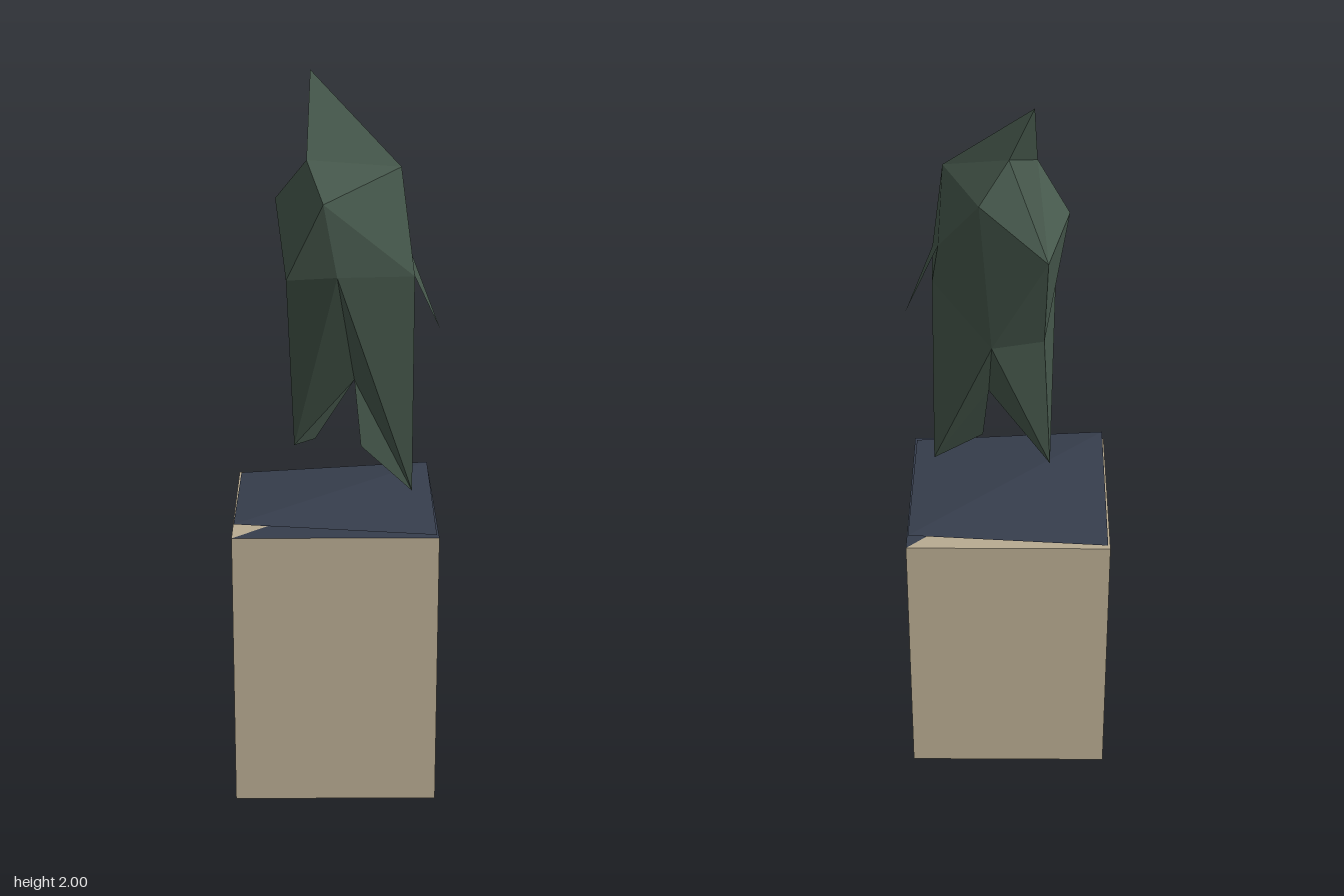
import * as THREE from 'three';

const mat = (name, color, extra = {}) => {
  const m = new THREE.MeshStandardMaterial({ color, ...extra });
  m.name = name;
  return m;
};

// Corner points of the faceted sculpture
const P = {
  A: [-0.07, 2.0, -0.064], // peak
  D: [-0.006, 1.87, -0.085], B: [-0.107, 1.633, -0.194], C: [0.07, 1.765, -0.136], // back of head
  E: [0.17, 1.768, 0.103], F: [-0.08, 1.785, 0.097], G: [-0.165, 1.67, 0.021], // shoulders
  I: [-0.036, 1.69, 0.219], H: [-0.135, 1.478, 0.168], P: [0.0, 1.495, 0.21], J: [0.205, 1.49, 0.172], // chest
  L: [0.183, 1.57, 0.023], M: [0.203, 1.437, 0.07], K: [0.28, 1.325, 0.1], // side and spike tip
  N: [0.04, 1.327, -0.1], Q: [-0.1, 1.35, -0.1], T: [0.05, 1.148, -0.025], // lower back and crotch
  R: [0.21, 0.855, 0.075], U: [0.068, 0.97, 0.025], // left foot
  W: [-0.12, 0.94, -0.075], V: [-0.06, 0.985, 0.003], // right foot
};

// Builds flat facets from three-letter corner names, turned away from the core
function facets(name, faces, material) {
  const core = new THREE.Vector3(0.02, 1.5, 0.03);
  const pos = [];
  for (const f of faces.split(' ')) {
    const v = [...f].map((k) => new THREE.Vector3(...P[k]));
    const n = v[1].clone().sub(v[0]).cross(v[2].clone().sub(v[0]));
    const mid = v[0].clone().add(v[1]).add(v[2]).divideScalar(3);
    core.y = Math.min(mid.y, 1.7);
    if (n.dot(mid.sub(core)) < 0) v.reverse();
    v.forEach((p) => pos.push(p.x, p.y, p.z));
  }
  const g = new THREE.BufferGeometry();
  g.setAttribute('position', new THREE.Float32BufferAttribute(pos, 3));
  g.computeVertexNormals();
  const mesh = new THREE.Mesh(g, material);
  mesh.name = name;
  return mesh;
}

export function createModel() {
  const model = new THREE.Group();
  model.name = 'sculptureOnPedestal';
  const green = mat('darkGreen', 0x46584c, { flatShading: true, side: THREE.DoubleSide });
  const cream = mat('sandstone', 0xb8ab91);
  const navy = mat('navySlate', 0x363d4c, { flatShading: true, side: THREE.DoubleSide });

  // Pedestal: sand block with half of its top in slate
  const w = 0.562, h = 0.79, d = 0.54;
  const box = new THREE.BoxGeometry(w, h, d);
  box.clearGroups();
  box.addGroup(0, 15, 0);
  box.addGroup(15, 3, 1);
  box.addGroup(18, 18, 0);
  const pedestal = new THREE.Mesh(box, [cream, navy]);
  pedestal.name = 'pedestal';
  pedestal.position.set(-0.005, h / 2, 0);
  model.add(pedestal);

  // Creased slate sheet: two opposite corners raised, two resting on the block
  const sheetGeo = new THREE.PlaneGeometry(0.55, 0.514).rotateX(-Math.PI / 2);
  const p = sheetGeo.attributes.position;
  for (let i = 0; i < p.count; i++) p.setY(i, p.getX(i) * p.getZ(i) < 0 ? 0.825 : 0.793);
  sheetGeo.computeVertexNormals();
  const sheet = new THREE.Mesh(sheetGeo, navy);
  sheet.name = 'slateSheet';
  sheet.position.set(-0.005, 0, -0.002);
  model.add(sheet);

  // Sculpture
  const sculpture = new THREE.Group();
  sculpture.name = 'sculpture';
  sculpture.add(
    facets('head', 'ADF AEF ADE DBF BGF DBC DCE', green),
    facets('torso', 'CEL ELJ EIJ EFI FIH FHG IHP IPJ LMJ BCN CLN LMN BNQ BQG GQH', green),
    facets('spike', 'JLK', green),
    facets('leftLeg', 'PJR PRT JMR MNR NRT', green),
    facets('rightLeg', 'HPW PTW HWQ QNW NTW', green),
    facets('feet', 'TRU TWV', green),
  );
  model.add(sculpture);
  return model;
}
